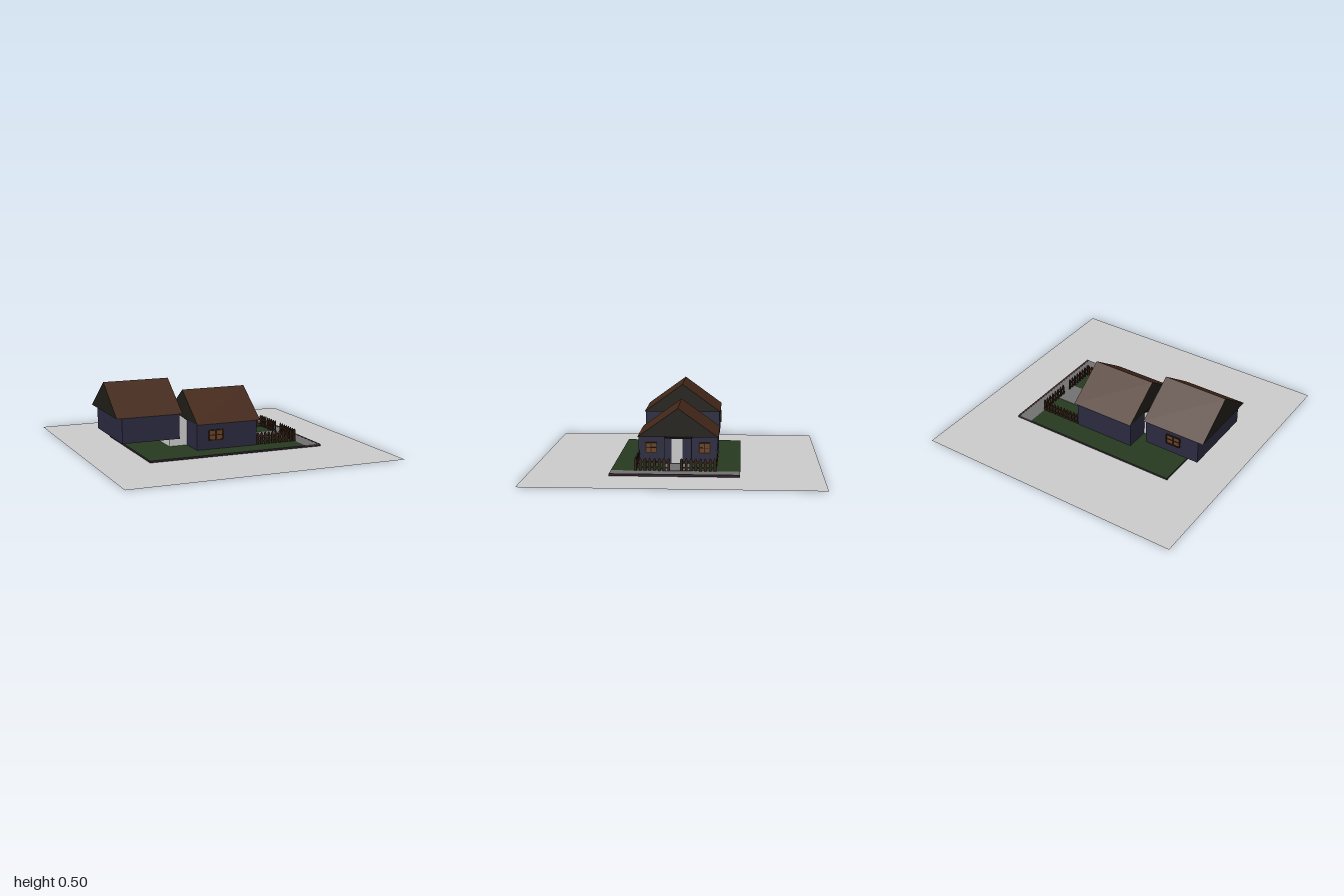
import * as THREE from 'three';

const mat = (color) => new THREE.MeshStandardMaterial({ color, flatShading: true });
const M = {
  plain: mat(0xcccccc), wall: mat(0x2a2a40), roof: mat(0x442819), gable: mat(0x1f1d17),
  black: mat(0x111111), grass: mat(0x263a1f), paving: mat(0x717171), base: mat(0x2b1c2c),
  kerb: mat(0x40282a), fence: mat(0x2e1c12), frame: mat(0x2c1a10), pane: mat(0x6a4224),
};

// Box from its low and high corners
function box(parent, name, material, [x0, y0, z0], [x1, y1, z1]) {
  const mesh = new THREE.Mesh(new THREE.BoxGeometry(x1 - x0, y1 - y0, z1 - z0), material);
  mesh.position.set((x0 + x1) / 2, (y0 + y1) / 2, (z0 + z1) / 2);
  mesh.name = name;
  parent.add(mesh);
  return mesh;
}

// Outline in the xy plane, extruded along +z
function prism(points, depth, materials, name) {
  const shape = new THREE.Shape(points.map(([x, y]) => new THREE.Vector2(x, y)));
  const geometry = new THREE.ExtrudeGeometry(shape, { depth, bevelEnabled: false });
  const mesh = new THREE.Mesh(geometry, materials);
  mesh.name = name;
  return mesh;
}

// Solid gabled roof with its ridge along x
function gabledRoof(x0, x1, y0, y1) {
  const roof = prism([[-0.286, y0], [0.286, y0], [0, y1]], x1 - x0, [M.gable, M.roof], 'gabledRoof');
  roof.rotation.y = Math.PI / 2;
  roof.position.x = x0;
  return roof;
}

// Window facing +z: frame, two panes each split by a glazing bar
function windowUnit(width, height) {
  const g = new THREE.Group();
  g.name = 'window';
  const w = width / 2, h = height / 2, t = 0.008;
  box(g, 'windowPane', M.pane, [-w, -h, -0.004], [w, h, 0.003]);
  for (const s of [-1, 1]) {
    box(g, 'windowJamb', M.frame, [s * w - t / 2, -h, -0.004], [s * w + t / 2, h, 0.009]);
    box(g, 'windowRail', M.frame, [-w, s * h - t / 2, -0.004], [w, s * h + t / 2, 0.009]);
  }
  box(g, 'mullion', M.frame, [-t / 2, -h, -0.004], [t / 2, h, 0.008]);
  box(g, 'glazingBar', M.frame, [-w, -0.003, -0.004], [w, 0.003, 0.006]);
  return g;
}

// Run of pointed pickets on two rails, along +x from the origin
function fenceRun(length, count) {
  const g = new THREE.Group();
  g.name = 'fence';
  const w = 0.018, step = (length - w) / (count - 1);
  for (let i = 0; i < count; i++) {
    const picket = prism(
      [[0, 0], [w, 0], [w, 0.078], [w / 2, 0.09], [0, 0.078]], 0.006, M.fence, 'picket');
    picket.position.set(i * step, 0, -0.003);
    g.add(picket);
  }
  for (const y of [0.022, 0.06]) {
    box(g, 'fenceRail', M.fence, [0, y - 0.005, -0.006], [length, y + 0.005, -0.002]);
  }
  return g;
}

export function createModel() {
  const model = new THREE.Group();
  const place = (object, x, y, z, turn = 0) => {
    object.position.set(x, y, z);
    object.rotation.y = turn;
    model.add(object);
  };

  // Ground sheet and yard
  const ground = new THREE.Mesh(new THREE.PlaneGeometry(2, 2),
    new THREE.MeshStandardMaterial({ color: 0xcccccc, side: THREE.DoubleSide }));
  ground.name = 'ground';
  ground.rotation.x = -Math.PI / 2;
  model.add(ground);
  box(model, 'yardBase', M.base, [-0.635, 0.006, -0.44], [0.655, 0.018, 0.44]);
  box(model, 'lawn', M.grass, [-0.635, 0.016, -0.44], [0.535, 0.02, 0.44]);
  box(model, 'pavement', M.paving, [0.535, 0.016, -0.44], [0.64, 0.02, 0.44]);
  box(model, 'kerb', M.kerb, [0.64, 0.016, -0.44], [0.655, 0.021, 0.44]);
  box(model, 'gardenPath', M.paving, [0.3, 0.018, -0.1], [0.535, 0.023, 0.09]);

  // Front house with entrance porch
  box(model, 'frontHouseWalls', M.wall, [-0.23, 0.018, -0.28], [0.225, 0.2, 0.28]);
  model.add(gabledRoof(-0.23, 0.25, 0.2, 0.405));
  box(model, 'porchWalls', M.wall, [0.225, 0.018, -0.1], [0.303, 0.199, 0.09]);
  box(model, 'porchRoof', M.black, [0.225, 0.199, -0.103], [0.305, 0.203, 0.093]);
  box(model, 'door', M.plain, [0.3, 0.028, -0.035], [0.306, 0.198, 0.04]);

  // Raised rear house
  box(model, 'rearHouseWalls', M.wall, [-0.775, 0.115, -0.28], [-0.36, 0.29, 0.28]);
  model.add(gabledRoof(-0.815, -0.34, 0.29, 0.498));

  // Passage joining the houses, with sloping roof
  const passage = prism([[-0.365, 0.018], [-0.23, 0.018], [-0.23, 0.2], [-0.345, 0.285], [-0.365, 0.285]],
    0.19, M.plain, 'passageWalls');
  place(passage, 0, 0, -0.1);
  const passageRoof = prism([[-0.23, 0.198], [-0.23, 0.204], [-0.35, 0.293], [-0.35, 0.287]],
    0.196, M.black, 'passageRoof');
  place(passageRoof, 0, 0, -0.103);

  // Windows
  place(windowUnit(0.105, 0.07), -0.088, 0.12, 0.28);
  place(windowUnit(0.105, 0.07), -0.58, 0.22, -0.28, Math.PI);
  for (const z of [-0.188, 0.19]) place(windowUnit(0.075, 0.07), 0.225, 0.12, z, Math.PI / 2);

  // Picket fence around the front garden
  for (const s of [-1, 1]) place(fenceRun(0.305, 11), 0.23, 0.019, s * 0.276);
  for (const z of [0.28, -0.033]) place(fenceRun(0.245, 8), 0.535, 0.019, z, Math.PI / 2);

  return model;
}
